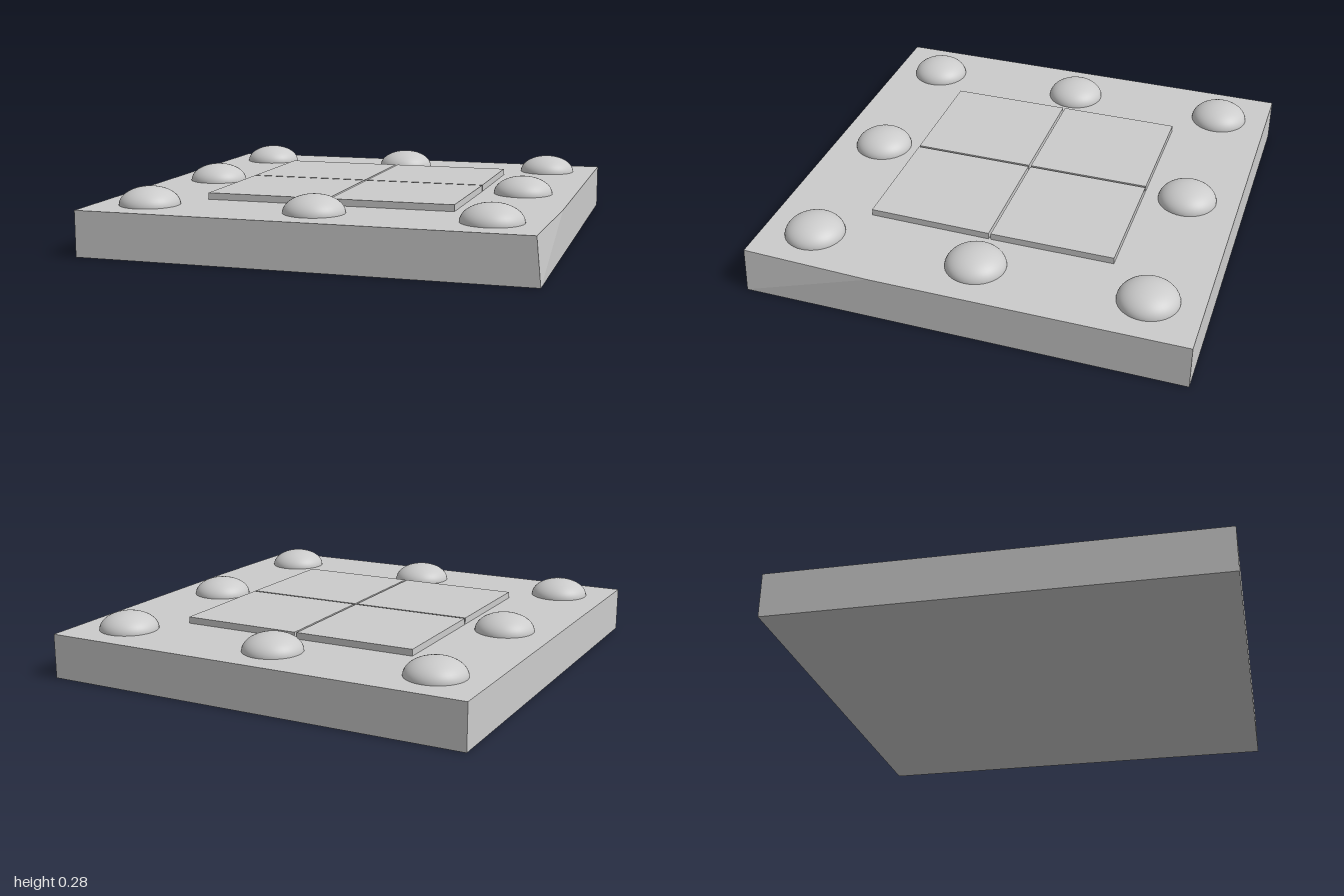
import * as THREE from 'three';
import { ConvexGeometry } from 'three/addons/geometries/ConvexGeometry.js';

const TOP = 0.205;

export function createModel() {
  const model = new THREE.Group();
  const flat = new THREE.MeshStandardMaterial({ color: 0xcccccc, flatShading: true });
  const smooth = new THREE.MeshStandardMaterial({ color: 0xcccccc });

  const add = (name, geometry, material, x = 0, y = 0, z = 0) => {
    const mesh = new THREE.Mesh(geometry, material);
    mesh.name = name;
    mesh.position.set(x, y, z);
    model.add(mesh);
  };

  // Slab with one worn corner at the front left of the model
  const slabPoints = [
    [-1, 0, -1], [1, 0, -1], [1, 0, 1], [-1, 0, 1],
    [-1, TOP, -1], [1, TOP, -1], [1, TOP, 0.4], [0.98, TOP, 1], [-1, TOP, 1],
  ].map((p) => new THREE.Vector3(...p));
  add('baseSlab', new ConvexGeometry(slabPoints), flat);

  // Four thin tiles separated by narrow gaps
  const size = 0.563, height = 0.03;
  for (const x of [-0.284, 0.289]) {
    for (const z of [-0.282, 0.291]) {
      const tile = new THREE.BoxGeometry(size, height, size);
      if (x > 0 && z > 0) {
        // The outer corner of this tile is pulled in slightly
        const pos = tile.attributes.position;
        for (let i = 0; i < pos.count; i++) {
          if (pos.getX(i) > 0 && pos.getZ(i) > 0) pos.setX(i, pos.getX(i) - 0.007);
        }
      }
      add('centreTile', tile, flat, x, TOP + height / 2, z);
    }
  }

  // Flattened domes around the border
  const dome = new THREE.SphereGeometry(0.135, 40, 14, 0, Math.PI * 2, 0, Math.PI / 2);
  dome.scale(1, 0.08 / 0.135, 1);
  for (const x of [-0.762, 0, 0.762]) {
    for (const z of [-0.762, 0, 0.762]) {
      if (x || z) add('domeStud', dome, smooth, x, TOP, z);
    }
  }
  return model;
}
